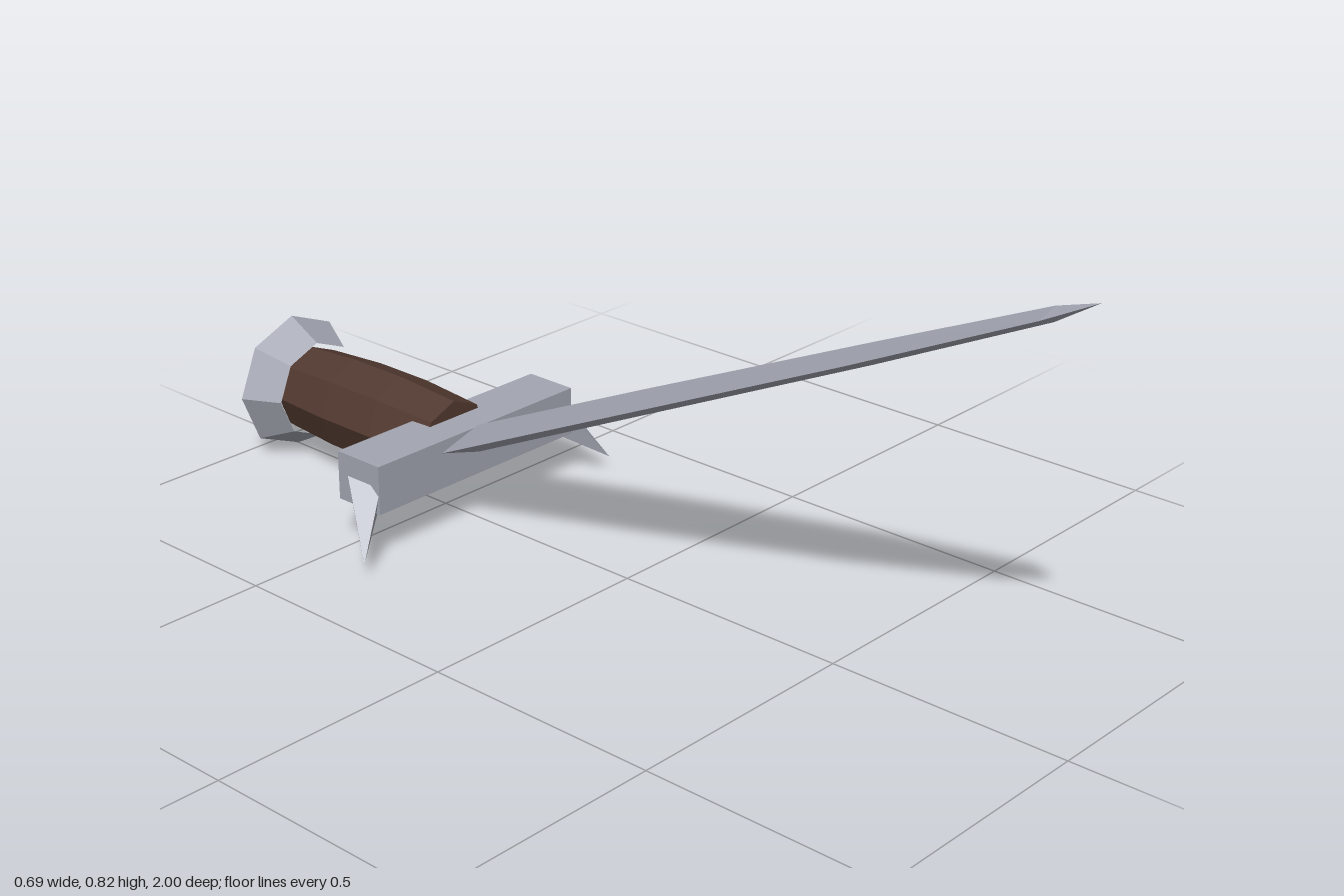
import * as THREE from 'three';

const AXIS_Y = 0.146; // height of the grip axis

// Skin a list of rings (arrays of [x, y, z], counter-clockwise seen from +z), flat shaded.
function loft(rings, capStart, capEnd) {
  const pos = [];
  const tri = (a, b, c) => pos.push(...a, ...b, ...c);
  const n = rings[0].length;
  for (let i = 0; i < rings.length - 1; i++) {
    for (let j = 0; j < n; j++) {
      const k = (j + 1) % n;
      const a = rings[i][j], b = rings[i][k], c = rings[i + 1][k], d = rings[i + 1][j];
      tri(a, b, c);
      tri(a, c, d);
    }
  }
  const first = rings[0], last = rings[rings.length - 1];
  for (let j = 1; j < n - 1; j++) {
    if (capStart) tri(first[0], first[j + 1], first[j]);
    if (capEnd) tri(last[0], last[j], last[j + 1]);
  }
  const g = new THREE.BufferGeometry();
  g.setAttribute('position', new THREE.Float32BufferAttribute(pos, 3));
  g.computeVertexNormals();
  return g;
}

// Octagonal ring around the grip axis
const octagon = ([z, r]) => Array.from({ length: 8 }, (_, i) => {
  const a = i * Math.PI / 4;
  return [r * Math.cos(a), AXIS_Y + r * Math.sin(a), z];
});

// Diamond cross-section of the blade
const diamond = ([z, y, w, h]) => [[w, y, z], [0, y + h, z], [-w, y, z], [0, y - h, z]];

export function createModel() {
  const group = new THREE.Group();
  const steel = new THREE.MeshStandardMaterial({ color: 0xa2a5b1, flatShading: true });
  steel.name = 'steel';
  const wood = new THREE.MeshStandardMaterial({ color: 0x51392f, flatShading: true });
  wood.name = 'darkWood';

  const add = (name, geometry, material) => {
    const mesh = new THREE.Mesh(geometry, material);
    mesh.name = name;
    group.add(mesh);
    return mesh;
  };

  // Blade, rising forward from the guard: z, y, half width, half thickness
  add('blade', loft([
    [-0.4, 0.175, 0.1, 0.029],
    [0.04, 0.378, 0.095, 0.026],
    [0.56, 0.616, 0.078, 0.021],
    [0.915, 0.78, 0.042, 0.014],
    [1, 0.82, 0, 0],
  ].map(diamond), true, false), steel);

  // Crossguard bar
  add('guard', new THREE.BoxGeometry(0.534, 0.101, 0.115), steel)
    .position.set(0, 0.15, -0.458);

  // Four-sided spikes bent down and forward at both ends of the guard
  const base = [[0.288, 0.17, -0.465], [0.258, 0.15, -0.407], [0.242, 0.1, -0.43], [0.262, 0.11, -0.487]];
  const tip = [0.343, 0.033, -0.365];
  for (const side of [1, -1]) {
    const ring = base.map(([x, y, z]) => [side * x, y, z]);
    if (side < 0) ring.reverse();
    const point = ring.map(() => [side * tip[0], tip[1], tip[2]]);
    add(side > 0 ? 'leftGuardSpike' : 'rightGuardSpike', loft([ring, point], true, false), steel);
  }

  // Grip, slightly swollen in the middle
  add('grip', loft([
    [-0.9, 0.09], [-0.76, 0.099], [-0.62, 0.099], [-0.468, 0.089],
  ].map(octagon), true, true), wood);

  // Pommel, open where the grip enters
  add('pommel', loft([
    [-1, 0], [-0.991, 0.072], [-0.955, 0.145], [-0.878, 0.104],
  ].map(octagon), false, false), steel);

  return group;
}
